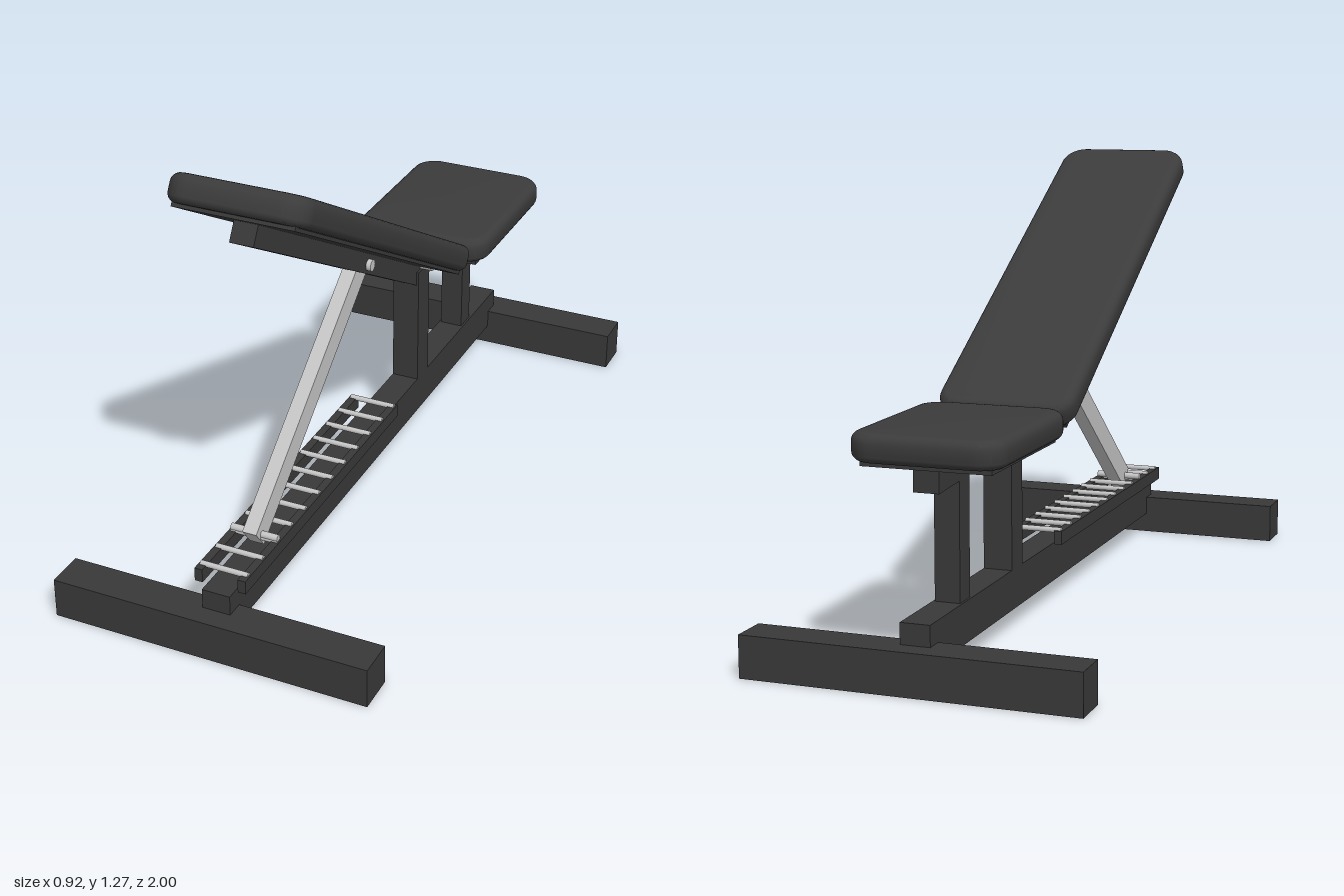
import * as THREE from 'three';
import { mergeVertices, toCreasedNormals } from 'three/addons/utils/BufferGeometryUtils.js';

const mat = (name, color) => new THREE.MeshStandardMaterial({ name, color });

export function createModel() {
  const frame = mat('dark frame', 0x383838);
  const vinyl = mat('pad vinyl', 0x3b3b3b);
  const steel = mat('bare steel', 0xc4c4c4);
  const model = new THREE.Group();
  model.name = 'adjustableBench';

  const add = (parent, name, geometry, material) => {
    const mesh = new THREE.Mesh(geometry, material);
    mesh.name = name;
    parent.add(mesh);
    return mesh;
  };

  // Box given by its limits on each axis
  const box = (parent, name, [x0, x1], [y0, y1], [z0, z1], material = frame) => {
    const mesh = add(parent, name, new THREE.BoxGeometry(x1 - x0, y1 - y0, z1 - z0), material);
    mesh.position.set((x0 + x1) / 2, (y0 + y1) / 2, (z0 + z1) / 2);
    return mesh;
  };

  // Round bar lying across the bench
  const crossBar = (name, radius, halfWidth, y, z, x = 0) => {
    const bar = add(model, name, new THREE.CylinderGeometry(radius, radius, halfWidth * 2, 16), steel);
    bar.rotation.z = Math.PI / 2;
    bar.position.set(x, y, z);
    return bar;
  };

  // Cushion with rounded corners and softly rolled edges
  const pad = (parent, name, halfWidth, [y0, y1], [z0, z1], corner, bevel) => {
    const w = halfWidth, h = (z1 - z0) / 2, r = corner;
    const s = new THREE.Shape();
    s.absarc(w - r, h - r, r, 0, Math.PI / 2);
    s.absarc(-w + r, h - r, r, Math.PI / 2, Math.PI);
    s.absarc(-w + r, -h + r, r, Math.PI, Math.PI * 1.5);
    s.absarc(w - r, -h + r, r, Math.PI * 1.5, Math.PI * 2);
    let g = new THREE.ExtrudeGeometry(s, {
      depth: y1 - y0 - 2 * bevel, bevelThickness: bevel, bevelSize: bevel,
      bevelOffset: -bevel, bevelSegments: 5, curveSegments: 10,
    });
    g.deleteAttribute('uv');
    g.deleteAttribute('normal');
    g = toCreasedNormals(mergeVertices(g, 1e-4), 0.7);
    g.rotateX(-Math.PI / 2);
    add(parent, name, g, vinyl).position.set(0, y0 + bevel, (z0 + z1) / 2);
  };

  // Base: two feet, long rail and two posts
  box(model, 'frontFoot', [-0.46, 0.46], [0, 0.115], [0.89, 1]);
  box(model, 'rearFoot', [-0.46, 0.46], [0, 0.115], [-1, -0.89]);
  box(model, 'mainRail', [-0.041, 0.041], [0.06, 0.172], [-0.94, 0.94]);
  box(model, 'mainPost', [-0.041, 0.041], [0.17, 0.54], [-0.372, -0.29]);
  box(model, 'rearPost', [-0.035, 0.035], [0.17, 0.53], [-0.73, -0.662]);

  // Seat: tapered beam, backing plate and cushion
  const profile = new THREE.Shape([[0.33, 0.546], [0.33, 0.512], [0.862, 0.485], [0.862, 0.546]]
    .map(([z, y]) => new THREE.Vector2(z, y)));
  const beam = new THREE.ExtrudeGeometry(profile, { depth: 0.07, bevelEnabled: false });
  beam.translate(0, 0, -0.035).rotateY(Math.PI / 2);
  add(model, 'seatBeam', beam, frame);
  box(model, 'seatPlate', [-0.178, 0.178], [0.543, 0.558], [-0.868, -0.405]);
  pad(model, 'seatPad', 0.21, [0.555, 0.632], [-0.906, -0.37], 0.075, 0.026);

  // Backrest, modelled flat and then tilted by 30 degrees
  const back = new THREE.Group();
  back.name = 'backrest';
  back.rotation.x = -Math.PI / 6;
  model.add(back);
  pad(back, 'backPad', 0.197, [0.642, 0.72], [-0.003, 1.303], 0.07, 0.026);
  box(back, 'backPlate', [-0.17, 0.17], [0.632, 0.646], [0.03, 1.27]);
  box(back, 'backBeam', [-0.034, 0.034], [0.575, 0.634], [-0.015, 1.187]);

  // Support strut, sloping down to the ladder
  const strut = new THREE.Group();
  strut.name = 'supportStrut';
  strut.rotation.x = 0.66;
  model.add(strut);
  box(strut, 'strutBar', [-0.021, 0.021], [0.577, 0.647], [-0.4, 0.445], steel);
  crossBar('strutCatchBar', 0.01, 0.07, 0.222, 0.715);

  // Pivot bolts
  crossBar('strutBolt', 0.017, 0.048, 0.729, 0.06);
  for (const side of [-1, 1]) crossBar('backrestBolt', 0.017, 0.02, 0.553, -0.33, side * 0.051);

  // Adjustment ladder: two side rails and twelve rungs
  for (const side of [-1, 1]) {
    box(model, 'ladderRail', [side * 0.0635 - 0.0115, side * 0.0635 + 0.0115], [0.175, 0.214], [-0.06, 0.915]);
  }
  for (let i = 0; i < 12; i++) crossBar('ladderRung', 0.008, 0.07, 0.214, 0.887 - i * 0.0848);

  return model;
}
